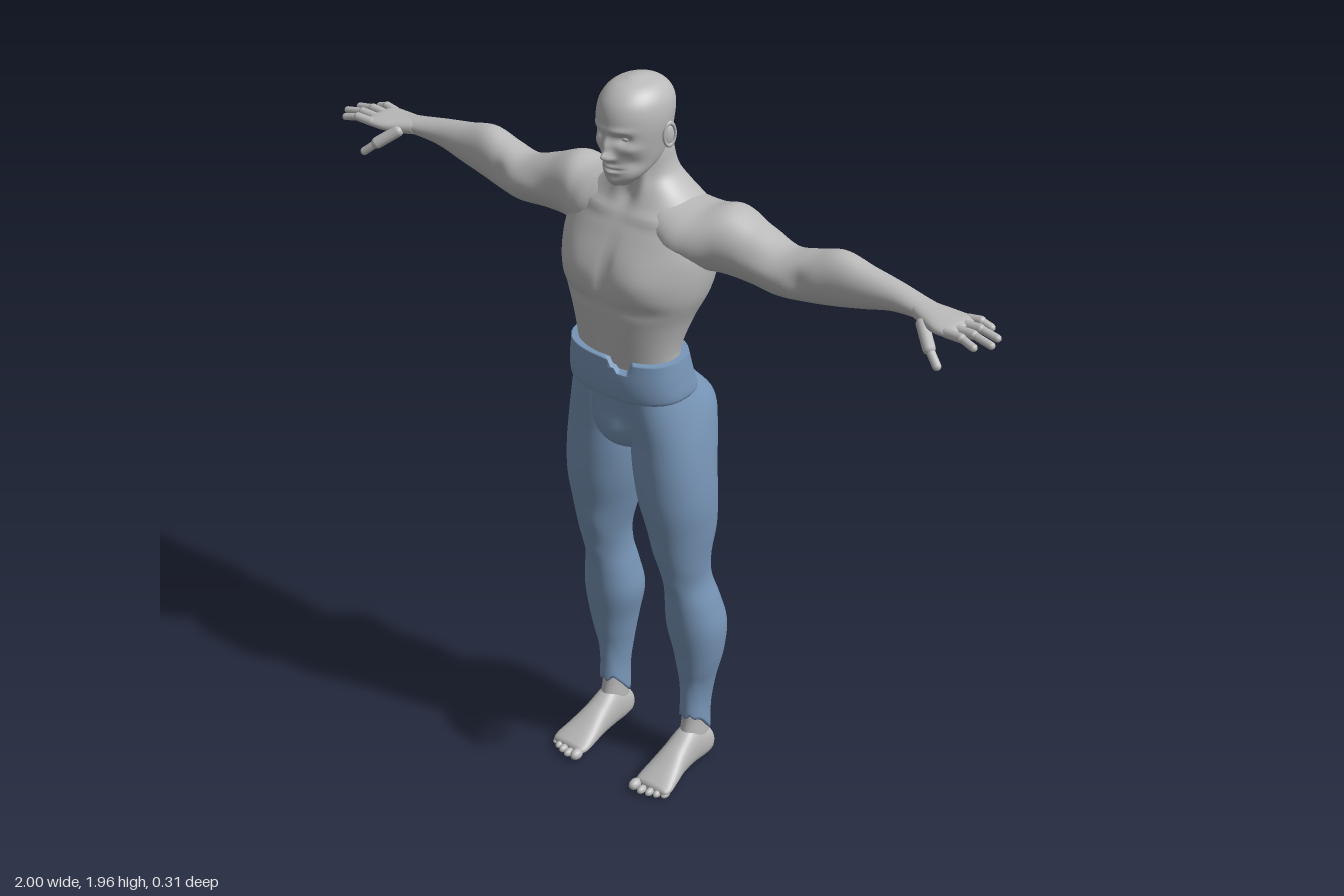
import * as THREE from 'three';

const skin = new THREE.MeshStandardMaterial({ color: 0xbababa });
skin.name = 'grey skin';
const cloth = new THREE.MeshStandardMaterial({ color: 0x7896b8 });
cloth.name = 'blue cloth';

// Smooth interpolation of section rows [t, u0, u1, v0, v1], t rising
function sample(rows, t) {
  let i = 0;
  while (i < rows.length - 2 && t > rows[i + 1][0]) i++;
  const at = k => rows[Math.min(rows.length - 1, Math.max(0, k))];
  const [a, b, c, d] = [at(i - 1), at(i), at(i + 1), at(i + 2)];
  const h = c[0] - b[0], f = (t - b[0]) / h, f2 = f * f, f3 = f2 * f;
  return b.map((p, k) => {
    if (k === 0) return t;
    const m0 = (c[k] - a[k]) / (c[0] - a[0]) * h, m1 = (d[k] - b[k]) / (d[0] - b[0]) * h;
    return (2 * f3 - 3 * f2 + 1) * p + (f3 - 2 * f2 + f) * m0 + (3 * f2 - 2 * f3) * c[k] + (f3 - f2) * m1;
  });
}

// Closed skin through rounded sections; place(t, u, v) returns [x, y, z]
function loft(sections, place, { steps = 48, seg = 48, power = 2, shape = null } = {}) {
  const rows = [...sections].sort((a, b) => a[0] - b[0]);
  const pos = [], idx = [], first = rows[0][0], last = rows[rows.length - 1][0];
  const round = c => Math.sign(c) * Math.abs(c) ** (2 / power);
  for (let i = 0; i <= steps; i++) {
    const [t, u0, u1, v0, v1] = sample(rows, first + (last - first) * i / steps);
    for (let j = 0; j < seg; j++) {
      const a = j / seg * Math.PI * 2;
      pos.push(...place(t, (u0 + u1) / 2 + (u1 - u0) / 2 * round(Math.cos(a)), (v0 + v1) / 2 + (v1 - v0) / 2 * round(Math.sin(a))));
    }
  }
  for (let i = 0; i < steps; i++) for (let j = 0; j < seg; j++) {
    const a = i * seg + j, b = i * seg + (j + 1) % seg;
    idx.push(a, b, a + seg, b, b + seg, a + seg);
  }
  [rows[0], rows[rows.length - 1]].forEach(([t, u0, u1, v0, v1], e) => {
    const centre = pos.length / 3, base = e * steps * seg;
    pos.push(...place(t, (u0 + u1) / 2, (v0 + v1) / 2));
    for (let j = 0; j < seg; j++) {
      const a = base + j, b = base + (j + 1) % seg;
      idx.push(...(e ? [a, b, centre] : [b, a, centre]));
    }
  });
  // Turn the faces outwards
  const p = k => new THREE.Vector3().fromArray(pos, k * 3);
  let volume = 0;
  for (let i = 0; i < idx.length; i += 3) volume += p(idx[i]).dot(p(idx[i + 1]).cross(p(idx[i + 2])));
  if (volume < 0) idx.reverse();
  if (shape) for (let i = 0; i < pos.length; i += 3) {
    const q = new THREE.Vector3().fromArray(pos, i);
    shape(q);
    q.toArray(pos, i);
  }
  const geo = new THREE.BufferGeometry();
  geo.setAttribute('position', new THREE.Float32BufferAttribute(pos, 3));
  geo.setIndex(idx);
  geo.computeVertexNormals();
  return geo;
}

// Soft bumps, mirrored in x: [x, y, z, rx, ry, rz, dx, dy, dz]
const sculpt = bumps => q => {
  const side = q.x < 0 ? -1 : 1, x = Math.abs(q.x), { y, z } = q;
  for (const [bx, by, bz, rx, ry, rz, dx, dy, dz] of bumps) {
    const w = Math.exp(-(((x - bx) / rx) ** 2) - ((y - by) / ry) ** 2 - ((z - bz) / rz) ** 2);
    q.x += side * dx * w; q.y += dy * w; q.z += dz * w;
  }
};

const sym = rows => rows.map(([y, w, z0, z1]) => [y, -w, w, z0, z1]);
const upright = (t, u, v) => [u, t, v];

export function createModel() {
  const model = new THREE.Group();
  model.name = 'muscularMan';
  const add = (name, geo, mat = skin) => {
    const mesh = new THREE.Mesh(geo, mat);
    mesh.name = name;
    model.add(mesh);
    return mesh;
  };
  const blob = (name, c, r, rotY = 0) => {
    const m = add(name, new THREE.SphereGeometry(1, 20, 14));
    m.position.set(...c); m.scale.set(...r); m.rotation.y = rotY;
  };
  // Rounded digit segment between two points
  const digit = (name, a, b, r) => {
    const p = new THREE.Vector3(...a), d = new THREE.Vector3(...b).sub(p);
    const m = add(name, new THREE.CapsuleGeometry(r, d.length(), 5, 12));
    m.position.copy(p).addScaledVector(d, 0.5);
    m.quaternion.setFromUnitVectors(new THREE.Vector3(0, 1, 0), d.normalize());
  };

  // Torso and neck, with chest, shoulder blades, spine and neck cords
  add('torso', loft(sym([
    [1.14, 0.14, -0.06, 0.115], [1.22, 0.139, -0.052, 0.12], [1.28, 0.143, -0.054, 0.127],
    [1.36, 0.165, -0.09, 0.136], [1.44, 0.198, -0.128, 0.142], [1.52, 0.21, -0.145, 0.125],
    [1.58, 0.203, -0.149, 0.095], [1.63, 0.172, -0.142, 0.062], [1.67, 0.115, -0.126, 0.042],
    [1.71, 0.074, -0.107, 0.032], [1.78, 0.063, -0.088, 0.034], [1.83, 0.056, -0.08, 0.03], [1.86, 0.04, -0.065, 0.02],
  ]), upright, {
    steps: 80, seg: 96, power: 2.2, shape: sculpt([
      [0.09, 1.48, 0.13, 0.075, 0.055, 0.08, 0, 0, 0.014],
      [0, 1.48, 0.14, 0.014, 0.09, 0.06, 0, 0, -0.008],
      [0.09, 1.405, 0.14, 0.1, 0.018, 0.06, 0, 0, -0.006],
      [0, 1.33, 0.14, 0.012, 0.07, 0.05, 0, 0, -0.005],
      [0, 1.41, -0.12, 0.022, 0.19, 0.07, 0, 0, 0.02],
      [0.1, 1.53, -0.14, 0.06, 0.07, 0.06, 0, 0, -0.007],
      [0.05, 1.32, -0.07, 0.03, 0.08, 0.05, 0, 0, -0.008],
      [0.09, 1.62, 0.06, 0.07, 0.012, 0.05, 0, 0.003, 0.006],
      [0, 1.655, 0.04, 0.018, 0.025, 0.03, 0, 0, -0.01],
      [0.035, 1.7, 0.02, 0.014, 0.06, 0.03, 0.003, 0, 0.006],
    ]),
  }));

  // Head with brow, eye sockets, nose, mouth and chin
  add('head', loft(sym([
    [1.705, 0.026, 0.03, 0.092], [1.73, 0.05, -0.01, 0.104], [1.76, 0.064, -0.065, 0.108],
    [1.8, 0.074, -0.084, 0.114], [1.85, 0.083, -0.093, 0.118], [1.89, 0.083, -0.096, 0.114],
    [1.92, 0.073, -0.084, 0.099], [1.943, 0.05, -0.056, 0.07], [1.957, 0.012, -0.012, 0.028],
  ]), upright, {
    steps: 100, seg: 128, shape: sculpt([
      [0.034, 1.832, 0.11, 0.018, 0.013, 0.04, 0, 0, -0.014],
      [0.03, 1.853, 0.11, 0.03, 0.009, 0.04, 0, 0, 0.005],
      [0, 1.812, 0.116, 0.01, 0.022, 0.05, 0, 0, 0.014],
      [0, 1.788, 0.114, 0.012, 0.012, 0.05, 0, 0, 0.022],
      [0.012, 1.782, 0.114, 0.007, 0.007, 0.04, 0, 0, 0.008],
      [0, 1.758, 0.11, 0.024, 0.006, 0.04, 0, 0, 0.007],
      [0, 1.751, 0.11, 0.026, 0.003, 0.04, 0, 0, -0.005],
      [0, 1.744, 0.108, 0.02, 0.006, 0.04, 0, 0, 0.007],
      [0, 1.718, 0.1, 0.022, 0.012, 0.04, 0, 0, 0.007],
      [0.05, 1.806, 0.09, 0.018, 0.014, 0.04, 0.003, 0, 0.004],
      [0.05, 1.768, 0.09, 0.018, 0.016, 0.04, -0.003, 0, -0.005],
    ]),
  }));

  // Waistband with a small notch at the front
  add('waistband', loft(sym([
    [1.147, 0.156, -0.09, 0.125], [1.155, 0.165, -0.1, 0.135], [1.2, 0.163, -0.085, 0.141], [1.262, 0.156, -0.068, 0.137],
  ]), upright, {
    steps: 24, seg: 120, power: 2.4, shape: q => {
      if (q.y > 1.23 && q.z > 0.1 && q.x > 0.015 && q.x < 0.08) q.y = q.x > 0.04 ? 1.23 : 1.242;
    },
  }), cloth);

  // Pelvis joining both trouser legs
  add('trouserSeat', loft(sym([
    [1.165, 0.155, -0.085, 0.12], [1.1, 0.172, -0.115, 0.113], [1.04, 0.155, -0.115, 0.104],
    [1.0, 0.09, -0.095, 0.09], [0.965, 0.02, -0.06, 0.04],
  ]), upright, { power: 2.2, shape: sculpt([[0, 1.045, 0.1, 0.035, 0.045, 0.05, 0, 0, 0.018]]) }), cloth);

  for (const s of [1, -1]) {
    const side = s > 0 ? 'left' : 'right';
    const standing = (t, u, v) => [s * u, t, v];

    // Trouser leg, its ragged hem higher in front
    add(side + 'TrouserLeg', loft([
      [1.17, 0.005, 0.155, -0.09, 0.118], [1.1, 0.002, 0.178, -0.146, 0.113], [1.02, 0.002, 0.196, -0.138, 0.104],
      [0.93, 0.008, 0.207, -0.122, 0.1], [0.84, 0.022, 0.21, -0.12, 0.093], [0.75, 0.045, 0.202, -0.12, 0.075],
      [0.66, 0.068, 0.19, -0.103, 0.055], [0.59, 0.075, 0.185, -0.108, 0.032], [0.52, 0.068, 0.2, -0.13, 0.022],
      [0.44, 0.062, 0.212, -0.15, 0.012], [0.35, 0.08, 0.203, -0.143, -0.005], [0.26, 0.095, 0.182, -0.128, -0.018],
      [0.18, 0.103, 0.171, -0.118, -0.02], [0.1, 0.102, 0.171, -0.117, -0.018],
    ], standing, {
      steps: 90, seg: 64, power: 2.1, shape: q => {
        sculpt([[0.13, 0.6, 0.03, 0.03, 0.035, 0.04, 0, 0, 0.008], [0.1, 0.7, 0.06, 0.03, 0.05, 0.05, 0, 0, 0.005]])(q);
        if (q.y < 0.3) {
          const hem = 0.1 + 0.06 * THREE.MathUtils.smoothstep(q.z, -0.1, -0.03) + 0.006 * Math.sin(q.x * 260);
          q.y = hem + (q.y - 0.1) * (0.3 - hem) / 0.2;
        }
      },
    }), cloth);

    // Ankle, foot and toes
    add(side + 'Ankle', loft([
      [0.04, 0.115, 0.157, -0.105, -0.03], [0.08, 0.107, 0.166, -0.116, -0.015],
      [0.14, 0.107, 0.165, -0.112, -0.025], [0.22, 0.11, 0.165, -0.11, -0.03],
    ], standing, { steps: 16, seg: 32 }));
    add(side + 'Foot', loft([
      [-0.13, 0.125, 0.15, 0.02, 0.05], [-0.118, 0.112, 0.164, 0.006, 0.075], [-0.09, 0.105, 0.17, 0, 0.1],
      [-0.04, 0.1, 0.172, 0, 0.118], [0.02, 0.096, 0.178, 0, 0.088], [0.07, 0.09, 0.19, 0, 0.058],
      [0.11, 0.088, 0.197, 0, 0.036], [0.128, 0.094, 0.19, 0.004, 0.026],
    ], (t, u, v) => [s * u, v, t], { steps: 32, seg: 36, power: 2.3 }));
    [[0.101, 0.138, 0.015], [0.126, 0.141, 0.011], [0.148, 0.135, 0.0105], [0.168, 0.127, 0.01], [0.186, 0.116, 0.0095]]
      .forEach(([x, z, r], i) => blob(`${side}Toe${i + 1}`, [s * x, r, z], [r * 0.95, r, i ? 0.016 : 0.02]));

    // Shoulder muscles, upper arm and forearm
    add(side + 'Arm', loft([
      [0.02, 1.56, 1.66, -0.1, 0.02], [0.07, 1.53, 1.672, -0.13, 0.055], [0.13, 1.505, 1.66, -0.148, 0.07],
      [0.18, 1.497, 1.657, -0.153, 0.055], [0.24, 1.495, 1.666, -0.15, 0.026], [0.32, 1.492, 1.635, -0.14, 0.01],
      [0.4, 1.488, 1.61, -0.13, 0.008], [0.47, 1.491, 1.622, -0.13, -0.006], [0.54, 1.5, 1.64, -0.128, -0.02],
      [0.62, 1.52, 1.625, -0.12, -0.028], [0.7, 1.543, 1.612, -0.11, -0.033], [0.78, 1.556, 1.6, -0.096, -0.026],
      [0.83, 1.558, 1.594, -0.09, -0.02],
    ], (t, u, v) => [s * t, u, v], {
      steps: 80, seg: 48, shape: sculpt([
        [0.35, 1.56, 0.01, 0.06, 0.025, 0.05, 0, 0, 0.006], [0.46, 1.56, 0, 0.025, 0.03, 0.04, 0, 0, -0.008],
        [0.3, 1.58, -0.145, 0.025, 0.06, 0.04, 0, 0, 0.006],
      ]),
    }));

    // Palm, fingers and thumb
    add(side + 'Palm', loft([
      [0.77, 1.558, 1.598, -0.09, -0.028], [0.81, 1.555, 1.596, -0.095, -0.01], [0.85, 1.558, 1.593, -0.1, 0.008],
      [0.89, 1.563, 1.59, -0.1, 0.012], [0.905, 1.57, 1.584, -0.095, 0.008],
    ], (t, u, v) => [s * t, u, v], { steps: 24, seg: 32, power: 2.3 }));
    [[-0.088, -0.09, 0.944], [-0.058, -0.056, 0.982], [-0.028, -0.019, 0.99], [0.0, 0.014, 0.965]].forEach(([z0, z1, x], i) => {
      const mid = [s * (x + 0.89) / 2, 1.582, (z0 + z1) / 2];
      digit(`${side}Finger${i + 1}Base`, [s * 0.885, 1.577, z0], mid, 0.0115);
      digit(`${side}Finger${i + 1}Tip`, mid, [s * x, 1.574, z1], 0.0095);
    });
    digit(side + 'ThumbBase', [s * 0.81, 1.568, -0.015], [s * 0.852, 1.535, 0.018], 0.0155);
    digit(side + 'ThumbTip', [s * 0.852, 1.535, 0.018], [s * 0.885, 1.507, 0.033], 0.0105);

    // Eye and ear
    blob(side + 'Eye', [s * 0.033, 1.831, 0.087], [0.014, 0.008, 0.01], s * 0.3);
    blob(side + 'EarInner', [s * 0.083, 1.822, -0.006], [0.008, 0.026, 0.016], s * -0.3);
    const rim = add(side + 'EarRim', new THREE.TorusGeometry(0.02, 0.0045, 8, 28));
    rim.position.set(s * 0.086, 1.824, -0.008);
    rim.rotation.y = Math.PI / 2 - s * 0.3;
    rim.scale.set(0.8, 1.4, 1);
  }
  return model;
}
